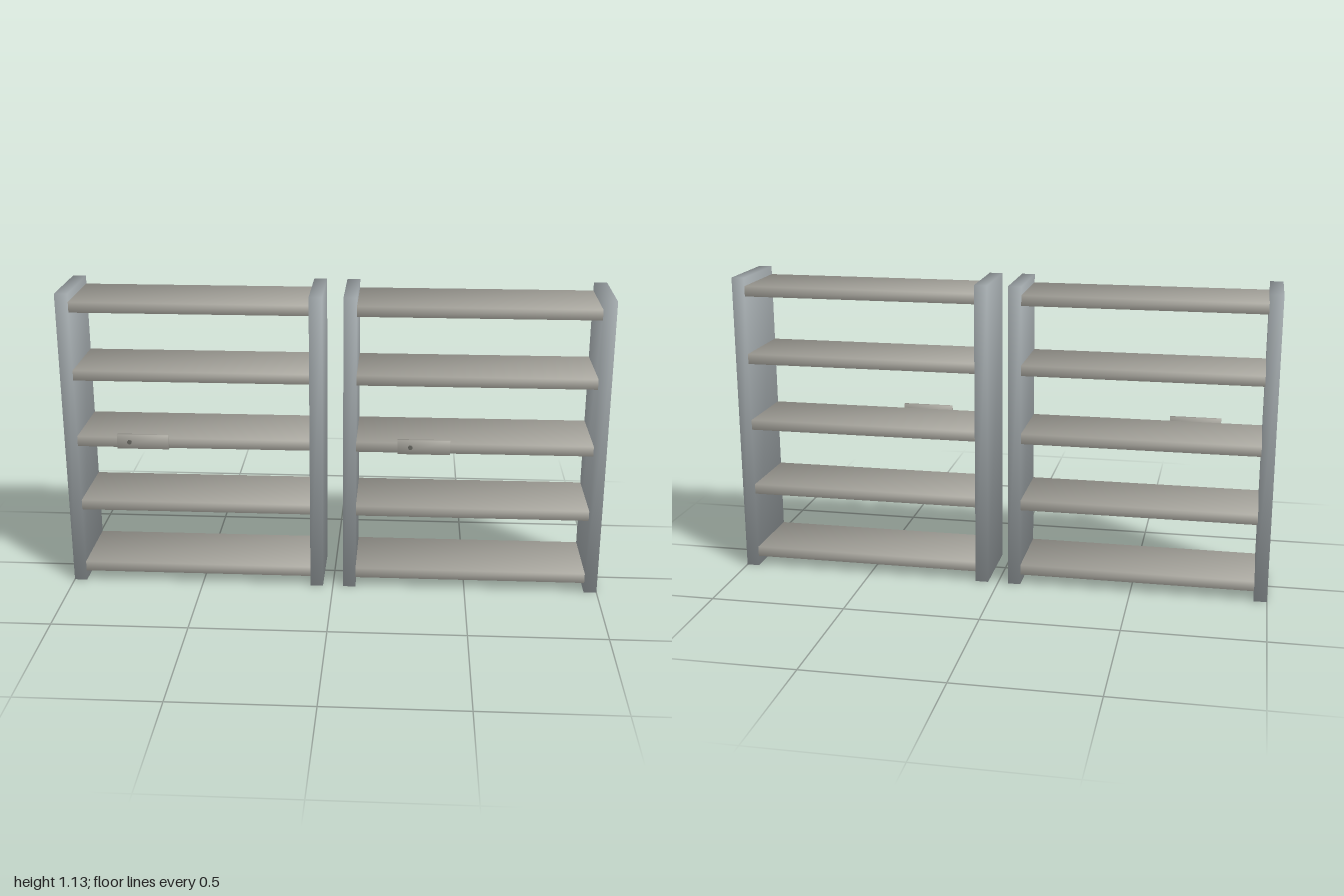
import * as THREE from 'three';

const frameMaterial = new THREE.MeshStandardMaterial({ color: 0x9ea5a8 });
const shelfMaterial = new THREE.MeshStandardMaterial({ color: 0xaeaca4 });
const studMaterial = new THREE.MeshStandardMaterial({ color: 0x666660 });

// Box between two corners; each corner normal points diagonally out for soft shading
function softBox(name, min, max, material) {
  const size = max.map((v, i) => v - min[i]);
  const geometry = new THREE.BoxGeometry(...size);
  const { position, normal } = geometry.attributes;
  const corner = new THREE.Vector3();
  for (let i = 0; i < position.count; i++) {
    corner.fromBufferAttribute(position, i);
    corner.set(Math.sign(corner.x), Math.sign(corner.y), Math.sign(corner.z)).normalize();
    normal.setXYZ(i, corner.x, corner.y, corner.z);
  }
  const mesh = new THREE.Mesh(geometry, material);
  mesh.name = name;
  mesh.position.set(...min.map((v, i) => v + size[i] / 2));
  return mesh;
}

const WIDTH = 0.962, HEIGHT = 1.132, SIDE = 0.048;
const BACK = -0.154, FRONT = 0.135;

// One shelf unit whose right edge sits at x = 0
function createShelfUnit(name) {
  const unit = new THREE.Group();
  unit.name = name;

  // Upright side panels
  unit.add(softBox('rightUpright', [0, 0, BACK], [SIDE, HEIGHT, FRONT], frameMaterial));
  unit.add(softBox('leftUpright', [WIDTH - SIDE, 0, BACK], [WIDTH, HEIGHT, FRONT], frameMaterial));

  // Evenly spaced shelves, let into the uprights
  for (let i = 0; i < 5; i++) {
    const y = 0.039 + i * 0.256;
    unit.add(softBox('shelf', [0.002, y, BACK + 0.001], [WIDTH - 0.002, y + 0.038, FRONT - 0.001], shelfMaterial));
  }

  // Label plate with a small stud on the middle shelf
  unit.add(softBox('plate', [0.2, 0.55, FRONT - 0.001], [0.392, 0.604, 0.147], shelfMaterial));
  const stud = new THREE.Mesh(new THREE.CylinderGeometry(0.008, 0.008, 0.009, 16), studMaterial);
  stud.name = 'stud';
  stud.rotation.x = Math.PI / 2;
  stud.position.set(0.247, 0.577, 0.15);
  unit.add(stud);
  return unit;
}

export function createModel() {
  const model = new THREE.Group();
  model.name = 'shelving';
  const rightUnit = createShelfUnit('rightShelfUnit');
  rightUnit.position.x = -1;
  const leftUnit = createShelfUnit('leftShelfUnit');
  leftUnit.position.x = 1 - WIDTH;
  model.add(rightUnit, leftUnit);
  return model;
}
